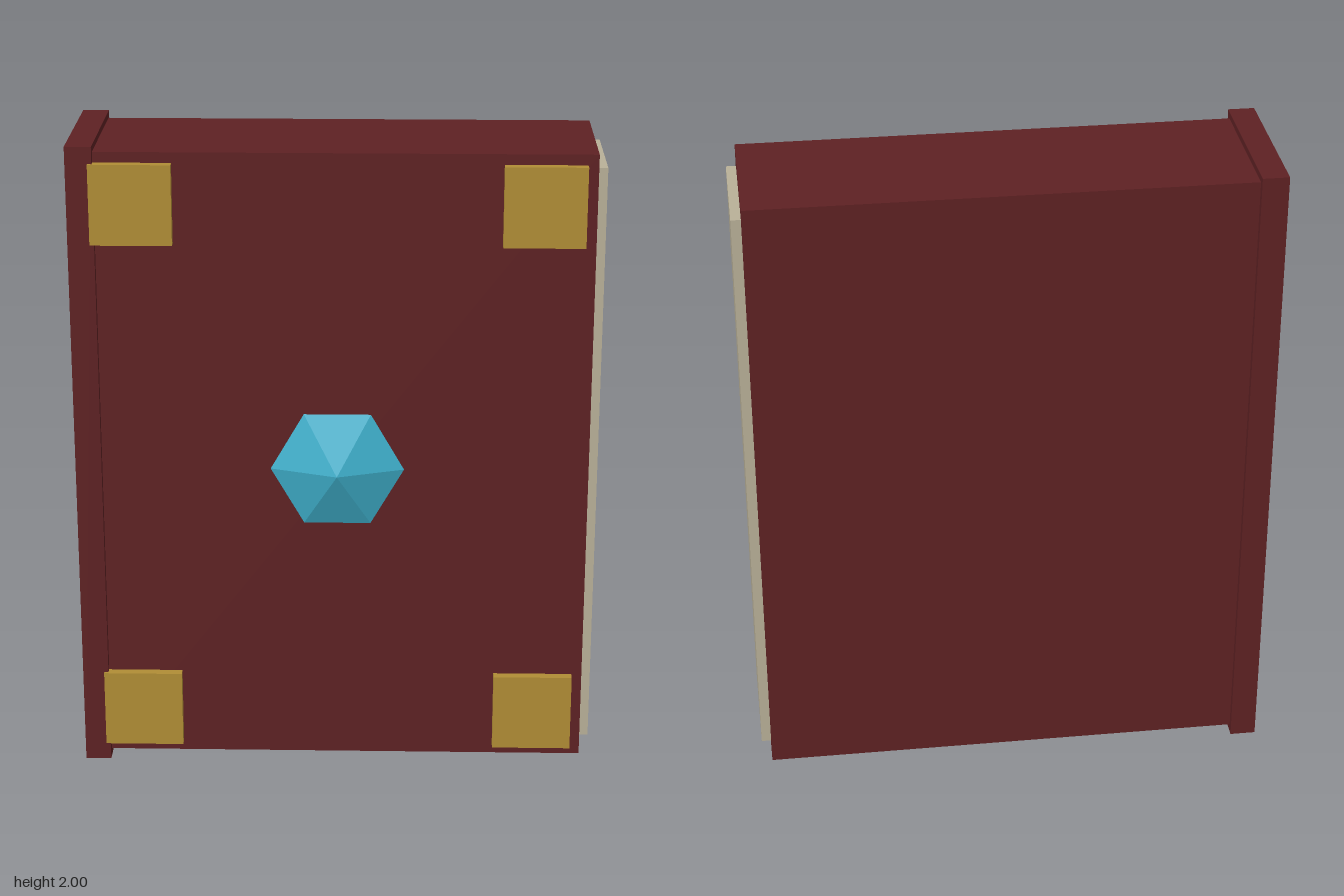
import * as THREE from 'three';

export function createModel() {
  const model = new THREE.Group();
  model.name = 'book';

  const material = (name, color) => {
    const m = new THREE.MeshStandardMaterial({ color });
    m.name = name;
    return m;
  };
  const leather = material('dark red leather', 0x5e2123);
  const paper = material('aged paper', 0xb9b098);
  const brass = material('brass', 0xb08d35);
  const crystal = material('blue crystal', 0x3fb0cc);

  // Box given by its lower and upper limits on each axis
  const box = (name, mat, [x0, x1], [y0, y1], [z0, z1]) => {
    const mesh = new THREE.Mesh(new THREE.BoxGeometry(x1 - x0, y1 - y0, z1 - z0), mat);
    mesh.position.set((x0 + x1) / 2, (y0 + y1) / 2, (z0 + z1) / 2);
    mesh.name = name;
    model.add(mesh);
  };

  // Cover, spine and page block
  box('cover', leather, [-0.73, 0.77], [0.025, 1.98], [-0.275, 0.178]);
  box('spine', leather, [-0.805, -0.725], [0, 2], [-0.295, 0.2]);
  box('pages', paper, [-0.68, 0.8], [0.07, 1.93], [-0.23, 0.135]);

  // Corner plates on the front cover
  for (const [side, x] of [['right', -0.615], ['left', 0.615]]) {
    for (const [level, y] of [['bottom', 0.18], ['top', 1.825]]) {
      box(`${level} ${side} corner plate`, brass,
        [x - 0.123, x + 0.123], [y - 0.123, y + 0.123], [0.16, 0.208]);
    }
  }

  // Faceted six-sided gem, its lower half sunk into the cover
  const profile = [[0, -0.06], [0.125, -0.05], [0.204, 0], [0, 0.074]]
    .map(([r, h]) => new THREE.Vector2(r, h));
  const gemGeometry = new THREE.LatheGeometry(profile, 6, Math.PI / 2)
    .rotateX(Math.PI / 2)
    .toNonIndexed();
  gemGeometry.computeVertexNormals();
  const gem = new THREE.Mesh(gemGeometry, crystal);
  gem.name = 'gem';
  gem.position.set(0, 1.003, 0.218);
  model.add(gem);

  return model;
}
